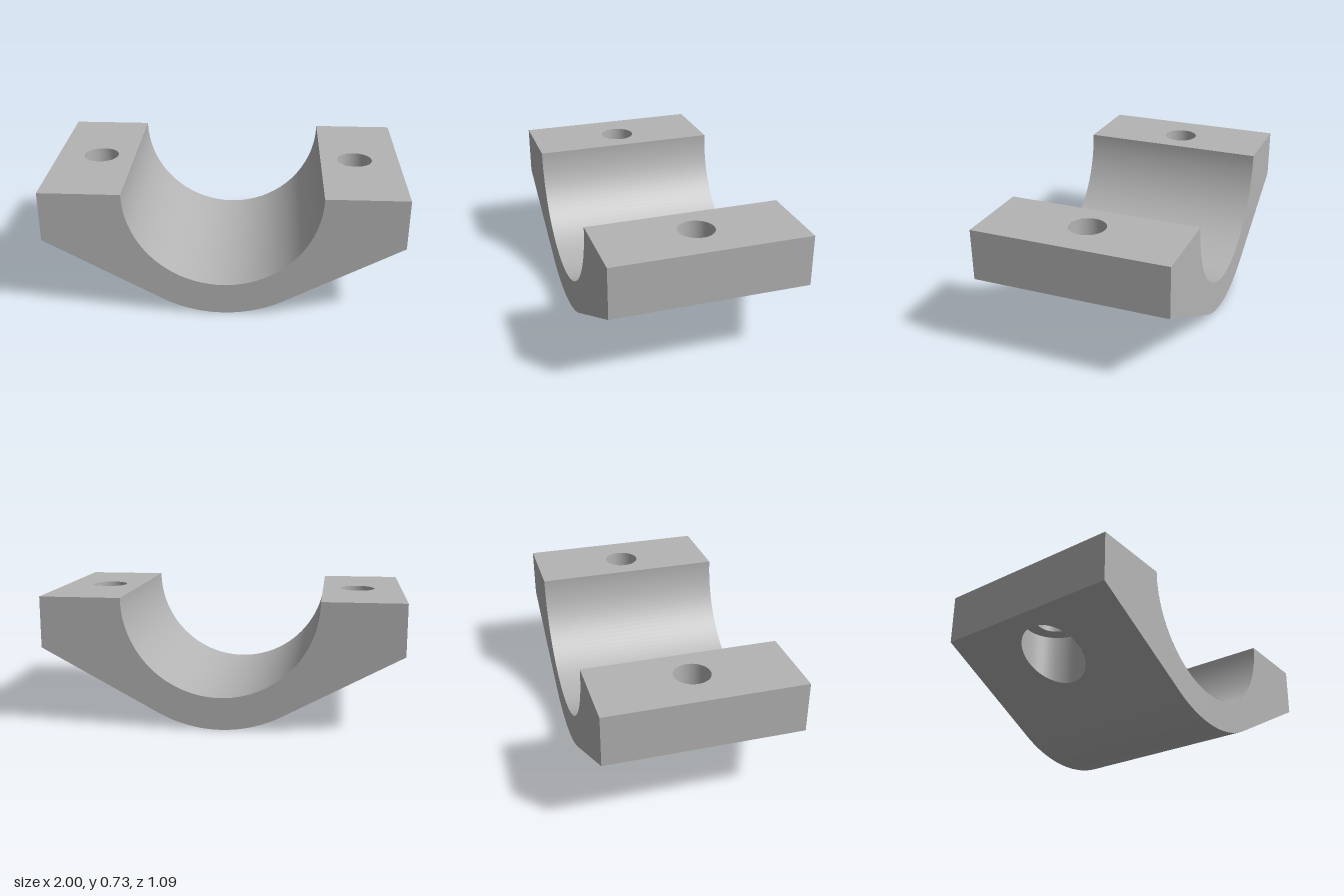
import * as THREE from 'three';

const H = 0.727;        // height of the flat top and of the bore axis
const D = 0.545;        // half depth
const BORE = 0.545;     // bore radius
const OUTER = 0.727;    // radius of the rounded underside
const EDGE = 0.44;      // height of the lower outer edges
const HOLE_X = 0.745, HOLE_R = 0.1, RECESS_R = 0.175, SHELF = 0.5;

// Angle at which the sloping underside leaves the rounded one
const A = Math.PI / 2 - Math.atan2(H - EDGE, 1) - Math.acos(OUTER / Math.hypot(1, H - EDGE));
const TX = OUTER * Math.sin(A), TY = H - OUTER * Math.cos(A);
const slopeY = x => TY + (x - TX) * (EDGE - TY) / (1 - TX);

export function createModel() {
  const group = new THREE.Group();
  const grey = new THREE.MeshStandardMaterial({ color: 0xb4b4b4, side: THREE.DoubleSide });
  grey.name = 'grey metal';

  const add = (parent, name, geometry) => {
    const mesh = new THREE.Mesh(geometry, grey);
    mesh.name = name;
    parent.add(mesh);
    return mesh;
  };

  // Rectangle from x0 to the outer side, pierced by a round hole
  const plate = (x0, r) => {
    const s = new THREE.Shape();
    s.moveTo(x0, -D).lineTo(1, -D).lineTo(1, D).lineTo(x0, D).closePath();
    s.holes.push(new THREE.Path().absarc(HOLE_X, 0, r, 0, Math.PI * 2, true));
    return new THREE.ShapeGeometry(s, 48);
  };

  // Part of a cylinder along z, centred on the lowest point
  const trough = (r, angle) => new THREE.CylinderGeometry(r, r, 2 * D, 64, 1, true, -angle, 2 * angle)
    .rotateX(Math.PI / 2).translate(0, H, 0);

  // Front and back faces
  const profile = new THREE.Shape();
  profile.moveTo(-1, H).lineTo(-1, EDGE).lineTo(-TX, TY);
  profile.absarc(0, H, OUTER, -Math.PI / 2 - A, -Math.PI / 2 + A, false);
  profile.lineTo(1, EDGE).lineTo(1, H).lineTo(BORE, H);
  profile.absarc(0, H, BORE, 0, -Math.PI, true);
  const face = new THREE.ShapeGeometry(profile, 64);
  add(group, 'frontFace', face).position.z = D;
  const back = add(group, 'backFace', face);
  back.position.z = -D;
  back.rotation.y = Math.PI;

  // Curved seat and rounded underside
  add(group, 'bore', trough(BORE, Math.PI / 2));
  add(group, 'roundedUnderside', trough(OUTER, A));

  // Two bolt flanges, the second turned half round
  for (const side of ['left', 'right']) {
    const flange = new THREE.Group();
    flange.name = side + 'Flange';
    if (side === 'right') flange.rotation.y = Math.PI;
    group.add(flange);

    add(flange, 'topPad', plate(BORE, HOLE_R).rotateX(-Math.PI / 2).translate(0, H, 0));
    add(flange, 'outerWall', new THREE.PlaneGeometry(2 * D, H - EDGE)
      .rotateY(Math.PI / 2).translate(1, (H + EDGE) / 2, 0));

    const slope = plate(TX, RECESS_R).rotateX(Math.PI / 2);
    const sp = slope.attributes.position;
    for (let i = 0; i < sp.count; i++) sp.setY(i, slopeY(sp.getX(i)));
    slope.computeVertexNormals();
    add(flange, 'slopingUnderside', slope);

    // Bolt hole, shelf for the bolt head, and recess cut off by the slope
    add(flange, 'boltHole', new THREE.CylinderGeometry(HOLE_R, HOLE_R, H - SHELF, 48, 1, true)
      .translate(HOLE_X, (H + SHELF) / 2, 0));
    add(flange, 'recessShelf', new THREE.RingGeometry(HOLE_R, RECESS_R, 48)
      .rotateX(Math.PI / 2).translate(HOLE_X, SHELF, 0));
    const recess = new THREE.CylinderGeometry(RECESS_R, RECESS_R, 1, 48, 1, true).translate(HOLE_X, 0, 0);
    const rp = recess.attributes.position;
    for (let i = 0; i < rp.count; i++) rp.setY(i, rp.getY(i) > 0 ? SHELF : slopeY(rp.getX(i)));
    add(flange, 'boltRecess', recess);
  }
  return group;
}
